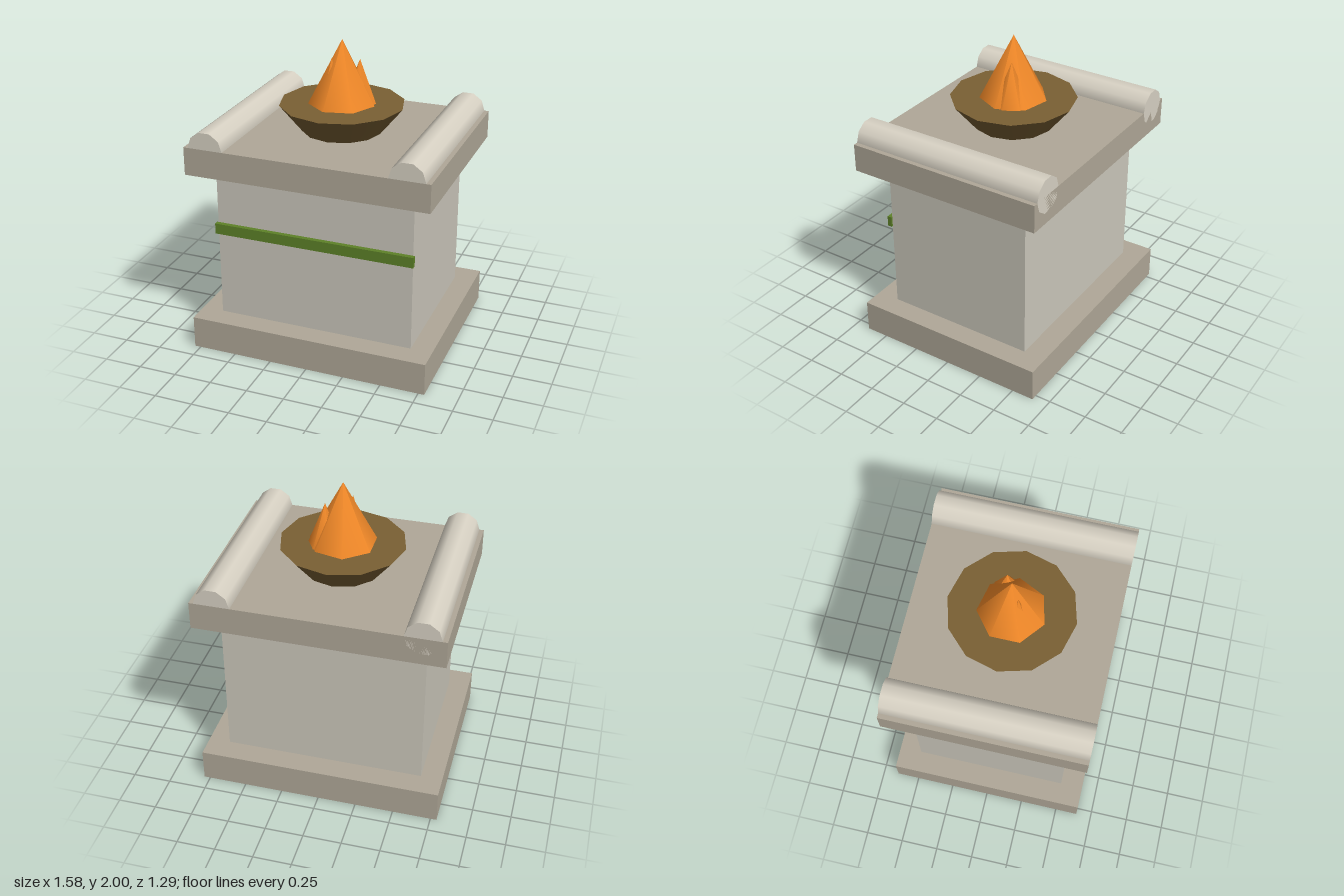
import * as THREE from 'three';

const paint = (color) => new THREE.MeshStandardMaterial({ color });

export function createModel() {
  const model = new THREE.Group();
  const slabStone = paint(0xb0a898);
  const bodyStone = paint(0xccc8bc);
  const bolsterStone = paint(0xd8d2c4);
  const bronze = paint(0x7a6034);
  const fire = paint(0xf08828);
  const green = paint(0x5e8228);

  const add = (name, geometry, material, x, y, z) => {
    const mesh = new THREE.Mesh(geometry, material);
    mesh.name = name;
    mesh.position.set(x, y, z);
    model.add(mesh);
    return mesh;
  };

  // Box between two heights
  const block = (name, material, width, depth, y0, y1, z = 0) =>
    add(name, new THREE.BoxGeometry(width, y1 - y0, depth), material, 0, (y0 + y1) / 2, z);

  // Stepped stone altar
  block('base', slabStone, 1.58, 1.295, 0, 0.215);
  block('body', bodyStone, 1.3, 1.0, 0.215, 1.23);
  block('topSlab', slabStone, 1.58, 1.295, 1.23, 1.412);

  // Green band across the front face
  block('frontBand', green, 1.32, 0.03, 0.795, 0.865, 0.515);

  // Half-sunk round bolsters along both sides of the top
  for (const [name, side] of [['leftBolster', 1], ['rightBolster', -1]]) {
    const roll = new THREE.CylinderGeometry(0.115, 0.115, 1.295, 10, 1, false, Math.PI / 10);
    roll.rotateX(Math.PI / 2);
    add(name, roll, bolsterStone, side * 0.645, 1.412, 0);
  }

  // Twelve-sided fire bowl
  add('bowl', new THREE.CylinderGeometry(0.4, 0.255, 0.178, 12), bronze, 0, 1.499, 0);

  // Flames: a tall centre cone and two smaller ones leaning out of it
  const flame = (name, x, z, tip, radius, sides) => {
    const bottom = 1.56;
    const geometry = new THREE.ConeGeometry(radius, tip - bottom, sides, 1, false, Math.PI / 2);
    add(name, geometry, fire, x, (tip + bottom) / 2, z);
  };
  flame('mainFlame', 0, 0, 2.0, 0.23, 7);
  flame('sideFlame', 0.1, -0.05, 1.87, 0.12, 6);
  flame('smallFlame', -0.05, 0.05, 1.89, 0.1, 6);

  return model;
}
